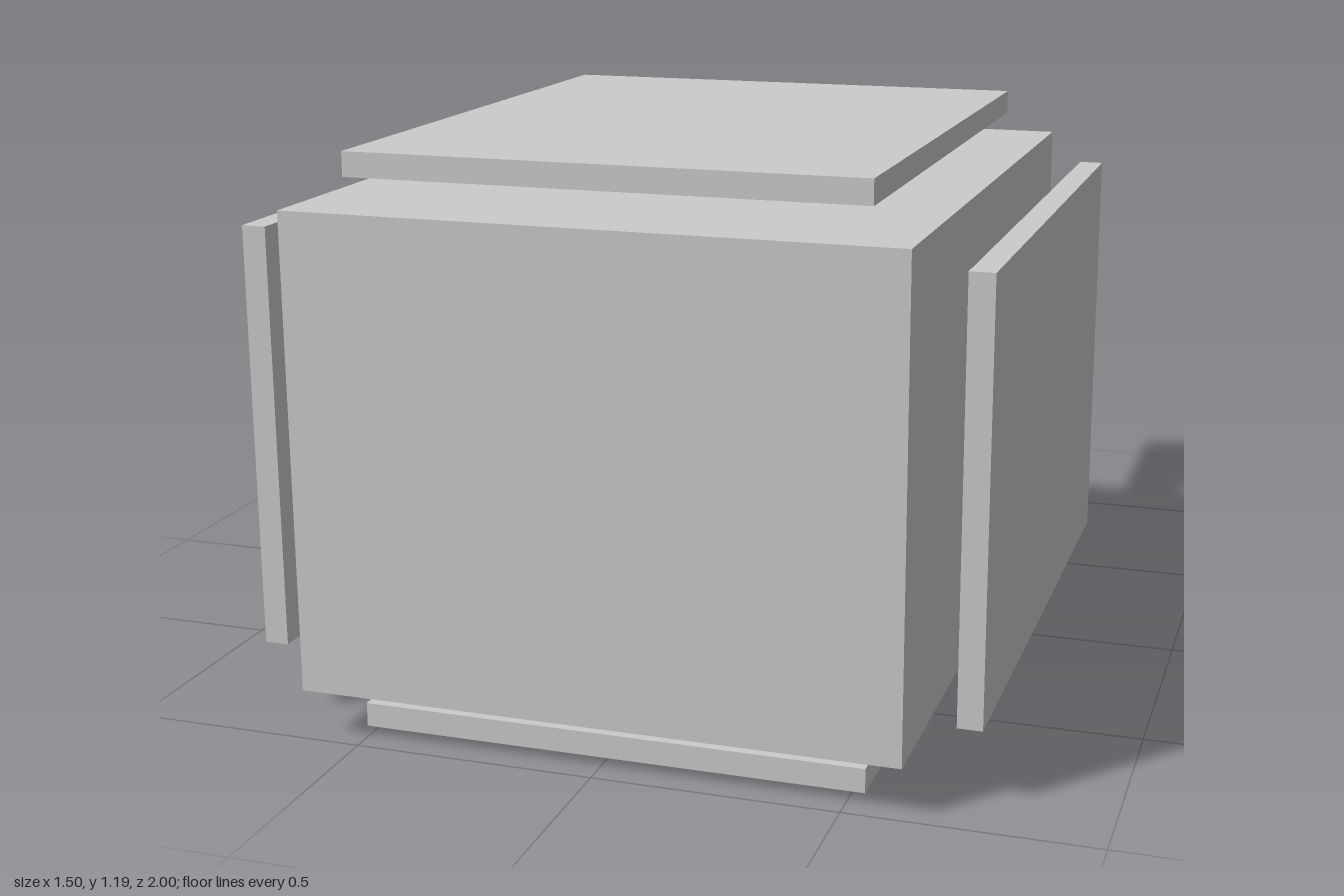
import * as THREE from 'three';

export function createModel() {
  const group = new THREE.Group();
  const material = new THREE.MeshStandardMaterial({ color: 0xcccccc });

  function add(name, geometry, x, y, z) {
    const mesh = new THREE.Mesh(geometry, material);
    mesh.name = name;
    mesh.position.set(x, y, z);
    group.add(mesh);
    return mesh;
  }

  const bodyY = 0.594, bodyZ = 0.272;
  const plateLength = 1.27, plateThickness = 0.05;

  // Main block
  add('body', new THREE.BoxGeometry(1.234, 0.978, 1.456), 0, bodyY, bodyZ);

  // Floating panels above and below the block
  const flatPlate = new THREE.BoxGeometry(1.05, plateThickness, plateLength);
  add('topPanel', flatPlate, 0, 1.162, bodyZ);
  add('bottomPanel', flatPlate, 0, 0.026, bodyZ);

  // Mirrored side panels and rear pipes
  const sidePlate = new THREE.BoxGeometry(plateThickness, 0.872, plateLength);
  const pipe = new THREE.CylinderGeometry(0.066, 0.066, 0.55, 32).rotateX(Math.PI / 2);
  for (const [side, s] of [['left', 1], ['right', -1]]) {
    add(side + 'Panel', sidePlate, s * 0.724, bodyY, bodyZ);
    add(side + 'Pipe', pipe, s * 0.292, 0.96, -0.725);
  }

  return group;
}
